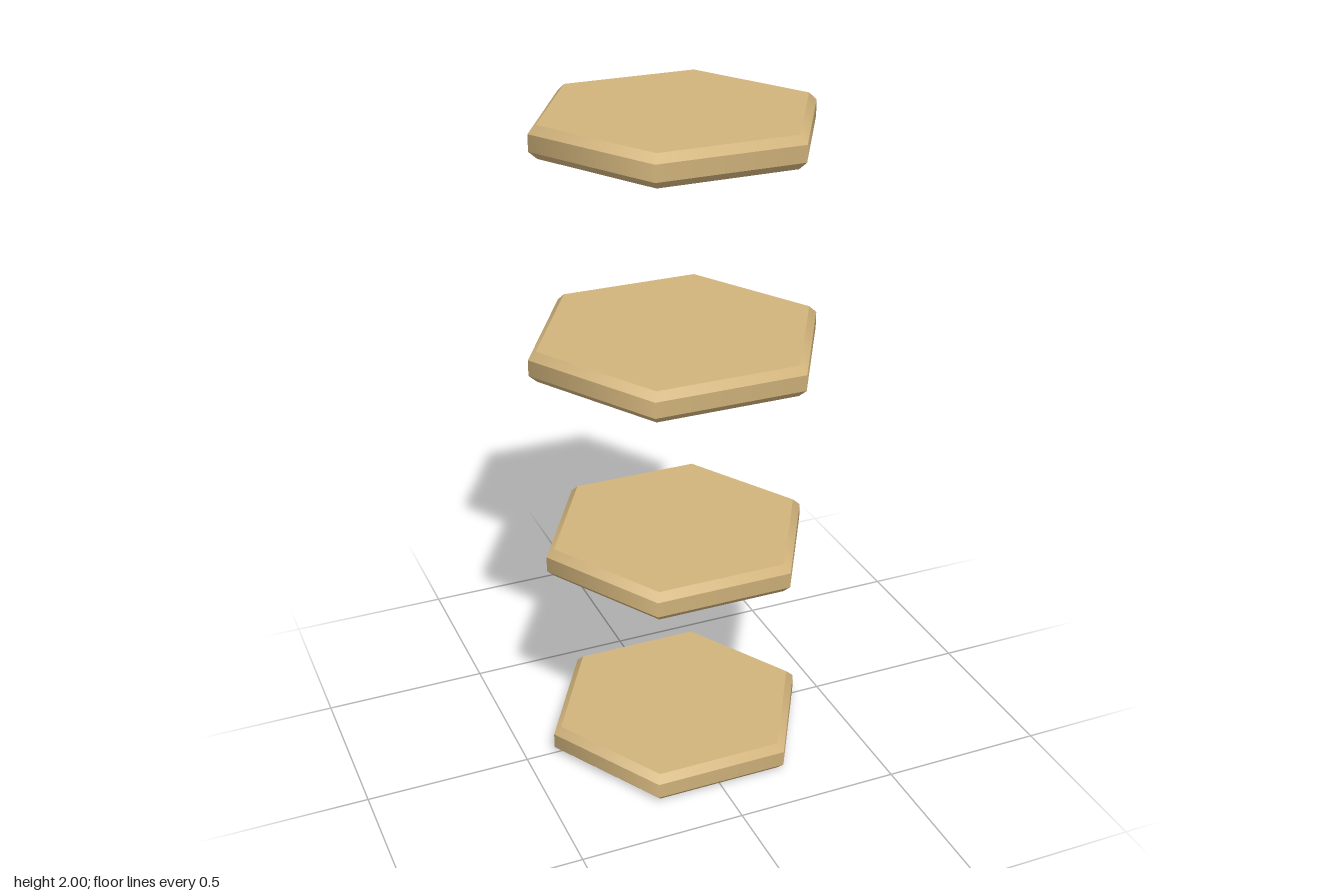
import * as THREE from 'three';

const THICKNESS = 0.091, BEVEL = 0.022;

// One band of a hexagonal plate, with corners on the x axis
function band(name, rTop, rBottom, height, y, material) {
  const geometry = new THREE.CylinderGeometry(rTop, rBottom, height, 6, 1, true, Math.PI / 2);
  const mesh = new THREE.Mesh(geometry, material);
  mesh.name = name;
  mesh.position.y = y + height / 2;
  return mesh;
}

// Flat hexagonal face, facing up or down
function face(name, radius, y, up, material) {
  const mesh = new THREE.Mesh(new THREE.CircleGeometry(radius, 6), material);
  mesh.name = name;
  mesh.rotation.x = up ? -Math.PI / 2 : Math.PI / 2;
  mesh.position.y = y;
  return mesh;
}

// Hexagonal plate with bevelled upper and lower rims
function hexPlate(name, radius, y, material) {
  const plate = new THREE.Group();
  plate.name = name;
  plate.position.y = y;
  const inner = radius - 0.024;
  plate.add(
    band('lowerBevel', radius, inner, BEVEL, 0, material),
    band('rim', radius, radius, THICKNESS - 2 * BEVEL, BEVEL, material),
    band('upperBevel', inner, radius, BEVEL, THICKNESS - BEVEL, material),
    face('topFace', inner, THICKNESS, true, material),
    face('bottomFace', inner, 0, false, material)
  );
  return plate;
}

export function createModel() {
  const model = new THREE.Group();
  model.name = 'floatingHexPlates';
  const sand = new THREE.MeshStandardMaterial({ color: 0xd2b47c });
  sand.name = 'sand';

  // Four evenly spaced plates, from bottom to top
  const radii = [0.41, 0.412, 0.443, 0.418];
  const spacing = (2 - THICKNESS) / (radii.length - 1);
  radii.forEach((r, i) => model.add(hexPlate(`plate${i + 1}`, r, i * spacing, sand)));
  return model;
}
